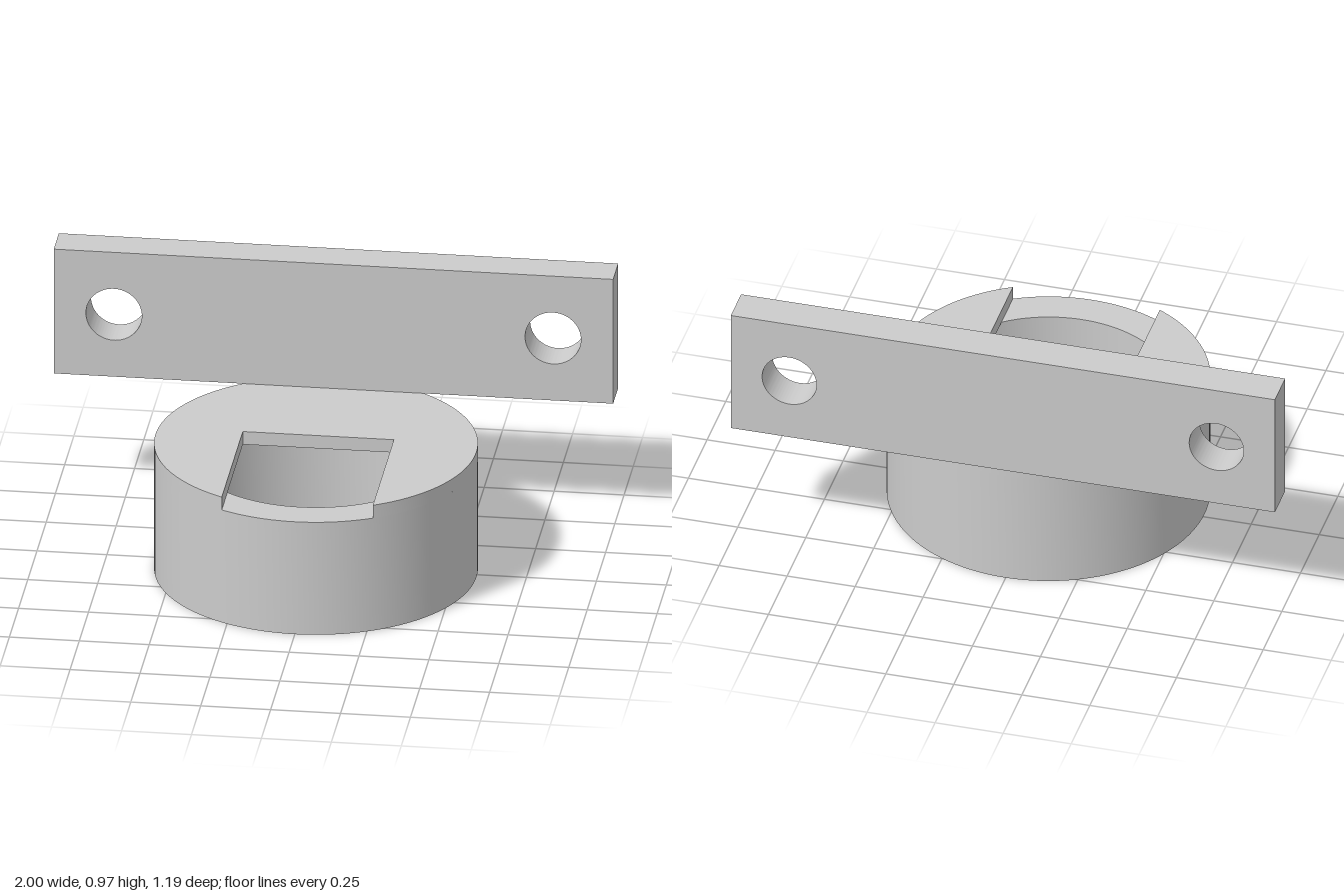
import * as THREE from 'three';
import { toCreasedNormals } from 'three/addons/utils/BufferGeometryUtils.js';

const OUTER = 0.574, INNER = 0.445, RING_Z = 0.019; // collar radii and centre
const RING_H = 0.437, COLLAR_H = 0.487;             // ring top, cover top
const SLOT_X = 0.27, SLOT_BACK = 0.064;             // half width, rear edge behind centre
const BAR_TOP = 0.97, BAR_BACK = -0.593, BAR_DEPTH = 0.138;

function circle(Type, x, y, r) {
  const path = new Type();
  path.absarc(x, y, r, 0, Math.PI * 2, false);
  return path;
}

function extrude(name, shape, depth) {
  const geometry = new THREE.ExtrudeGeometry(shape, { depth, bevelEnabled: false, curveSegments: 64 });
  const mesh = new THREE.Mesh(
    toCreasedNormals(geometry, Math.PI / 6),
    new THREE.MeshStandardMaterial({ color: 0xcccccc })
  );
  mesh.name = name;
  return mesh;
}

export function createModel() {
  const model = new THREE.Group();
  model.name = 'mountingBracket';

  // Collar: extruded upwards, shape -y faces the front
  const collar = new THREE.Group();
  collar.name = 'collar';
  collar.rotation.x = -Math.PI / 2;
  collar.position.z = RING_Z;

  // Open ring wall
  const ringShape = circle(THREE.Shape, 0, 0, OUTER);
  ringShape.holes.push(circle(THREE.Path, 0, 0, INNER));
  collar.add(extrude('ringWall', ringShape, RING_H));

  // Thin cover with a slot open to the front
  const corner = Math.asin(SLOT_X / OUTER);
  const coverShape = new THREE.Shape();
  coverShape.absarc(0, 0, OUTER, -Math.PI / 2 + corner, Math.PI * 1.5 - corner, false);
  coverShape.lineTo(-SLOT_X, SLOT_BACK);
  coverShape.lineTo(SLOT_X, SLOT_BACK);
  coverShape.closePath();
  const cover = extrude('slottedCover', coverShape, COLLAR_H - RING_H);
  cover.position.z = RING_H;
  collar.add(cover);
  model.add(collar);

  // Upright mounting bar with two bolt holes
  const barShape = new THREE.Shape([
    new THREE.Vector2(-1, COLLAR_H), new THREE.Vector2(1, COLLAR_H),
    new THREE.Vector2(1, BAR_TOP), new THREE.Vector2(-1, BAR_TOP),
  ]);
  for (const side of [-1, 1]) {
    barShape.holes.push(circle(THREE.Path, side * 0.785, (COLLAR_H + BAR_TOP) / 2, 0.1));
  }
  const bar = extrude('mountingBar', barShape, BAR_DEPTH);
  bar.position.z = BAR_BACK;
  model.add(bar);

  return model;
}
